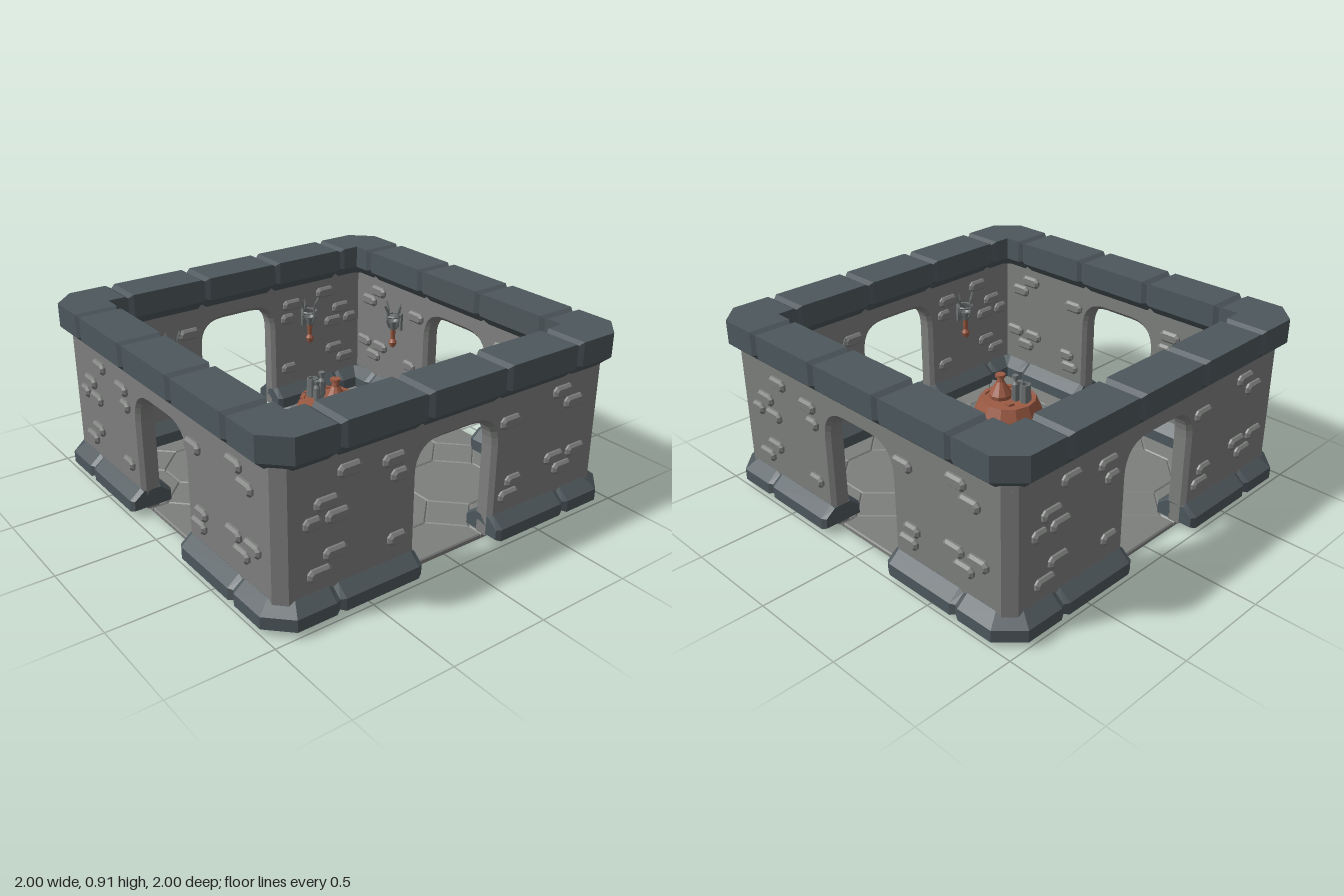
import * as THREE from 'three';

const mat = (name, color) => Object.assign(new THREE.MeshStandardMaterial({ color }), { name });

// Closed loft through rings of points with fan caps, faceted
function loft(rings) {
  const pos = [], n = rings[0].length, last = rings.length - 1;
  const tri = (a, b, c) => pos.push(...a, ...b, ...c);
  for (let i = 0; i < last; i++) {
    for (let j = 0; j < n; j++) {
      const k = (j + 1) % n, A = rings[i], B = rings[i + 1];
      tri(A[j], B[j], B[k]);
      tri(A[j], B[k], A[k]);
    }
  }
  for (let j = 1; j < n - 1; j++) {
    tri(rings[0][0], rings[0][j], rings[0][j + 1]);
    tri(rings[last][0], rings[last][j + 1], rings[last][j]);
  }
  const g = new THREE.BufferGeometry();
  g.setAttribute('position', new THREE.Float32BufferAttribute(pos, 3));
  g.computeVertexNormals();
  return g;
}

// Stone block: profile (t from outer to inner edge, y) swept along plan stations, tapered at its ends
function block(stations, profile) {
  const ys = profile.map(p => p[1]);
  const mid = (Math.min(...ys) + Math.max(...ys)) / 2;
  return loft(stations.map(([ox, oz, ix, iz], i) => {
    const end = i === 0 || i === stations.length - 1;
    return profile.map(([t, y]) => {
      const u = end ? 0.5 + (t - 0.5) * 0.88 : t;
      return [ox + (ix - ox) * u, end ? mid + (y - mid) * 0.82 : y, oz + (iz - oz) * u];
    });
  }));
}
const OUT = 1, IN = 0.78, JOINT = 0.667, DOOR = 0.225, GAP = 0.025;
const straight = (a, b) => [a, a + GAP, b - GAP, b].map(x => [x, OUT, x, IN]);
const corner = [
  [JOINT, OUT, JOINT, IN], [JOINT + GAP, OUT, JOINT + GAP, IN], [0.89, OUT, IN, IN],
  [OUT, 0.89, IN, IN], [OUT, JOINT + GAP, IN, JOINT + GAP], [OUT, JOINT, IN, JOINT],
];
const copingProfile = [[0.27, 0.735], [0, 0.79], [0, 0.91], [1, 0.91], [1, 0.79], [0.73, 0.735]];
const baseProfile = [[0, 0.03], [0, 0.09], [0.27, 0.14], [0.73, 0.14], [1, 0.09], [1, 0.03]];

const polygon = pts => new THREE.Shape(pts.map(p => new THREE.Vector2(p[0], p[1])));
const bevelled = (shape, depth, b) => new THREE.ExtrudeGeometry(shape, {
  depth, bevelEnabled: true, bevelSize: b, bevelThickness: b, bevelSegments: 1, curveSegments: 7,
});

// Wall panel with an arched doorway and chamfered edges
function wallGeometry() {
  const s = new THREE.Shape();
  s.moveTo(-0.89, 0.05);
  s.lineTo(-0.245, 0.05);
  s.lineTo(-0.245, 0.5);
  s.bezierCurveTo(-0.245, 0.6, -0.2, 0.665, -0.09, 0.665);
  s.lineTo(0.09, 0.665);
  s.bezierCurveTo(0.2, 0.665, 0.245, 0.6, 0.245, 0.5);
  s.lineTo(0.245, 0.05);
  s.lineTo(0.89, 0.05);
  s.lineTo(0.89, 0.755);
  s.lineTo(-0.89, 0.755);
  return bevelled(s, 0.06, 0.02).translate(0, 0, 0.86);
}

// Raised brick that shows on both wall faces
function brickGeometry(w, h) {
  const b = 0.012, c = 0.01, x = w / 2 - b, y = h / 2 - b;
  return bevelled(polygon([[-x + c, -y], [x - c, -y], [x, -y + c], [x, y - c],
    [x - c, y], [-x + c, y], [-x, y - c], [-x, -y + c]]), 0.12, b);
}
const bricks = [ // x, y, width
  [-0.59, 0.66, 0.12], [-0.36, 0.63, 0.12], [-0.33, 0.55, 0.09], [-0.705, 0.545, 0.12],
  [-0.775, 0.47, 0.09], [-0.65, 0.47, 0.12], [-0.66, 0.3, 0.12], [-0.74, 0.225, 0.12],
  [-0.335, 0.245, 0.1], [0.31, 0.605, 0.12], [0.64, 0.665, 0.12], [0.72, 0.595, 0.12],
  [0.62, 0.33, 0.12], [0.765, 0.33, 0.12], [0.68, 0.26, 0.12], [0.355, 0.295, 0.1], [0.33, 0.225, 0.12],
];

export function createModel() {
  const stone = mat('wall stone', 0x7d7f7d);
  const slate = mat('dark slate', 0x4d575c);
  const copper = mat('red brown wood', 0x9c5a43);
  const metal = mat('grey metal', 0x6f7475);
  for (const m of [copper, metal]) m.flatShading = true;

  const model = new THREE.Group();
  model.name = 'stoneRoom';
  const add = (parent, name, geo, m, x = 0, y = 0, z = 0) => {
    const mesh = new THREE.Mesh(geo, m);
    mesh.name = name;
    mesh.position.set(x, y, z);
    parent.add(mesh);
    return mesh;
  };
  const lathe = (pts, n, start, len) =>
    new THREE.LatheGeometry(pts.map(p => new THREE.Vector2(p[0], p[1])), n, start, len);

  // Floor: octagon and diamond slabs over a thin core, with rims below
  const floor = new THREE.Group();
  floor.name = 'floor';
  model.add(floor);
  const S = 0.445, edge = 0.89, clamp = v => Math.max(-edge, Math.min(edge, v));
  add(floor, 'floorCore', new THREE.BoxGeometry(1.78, 0.01, 1.78), stone, 0, 0.018, 0);
  const slab = (name, cx, cz, pts) => {
    const shape = polygon(pts.map(([x, y]) => [clamp(cx + x), clamp(cz + y)]));
    const g = bevelled(shape, 0.012, 0.006).rotateX(-Math.PI / 2);
    add(floor, name, g, stone, 0, 0.012, 0);
  };
  const a = 0.074, b = 0.2145;
  const octagon = [[a, -b], [b, -a], [b, a], [a, b], [-a, b], [-b, a], [-b, -a], [-a, -b]];
  const d = 0.136, diamond = [[d, 0], [0, d], [-d, 0], [0, -d]];
  for (let i = -2; i <= 2; i++) {
    for (let j = -2; j <= 2; j++) {
      if (Math.abs(i * j) < 4) slab('octagonSlab', i * S, j * S, octagon);
      if (i < 2 && j < 2) slab('diamondSlab', (i + 0.5) * S, (j + 0.5) * S, diamond);
    }
  }
  for (const p of [-0.884, 0, 0.884]) {
    add(floor, 'floorRim', new THREE.BoxGeometry(1.78, 0.024, 0.012), stone, 0, 0.012, p);
    add(floor, 'floorRim', new THREE.BoxGeometry(0.012, 0.024, 1.78), stone, p, 0.012, 0);
  }

  // Wall torch: copper handle in a metal cage
  const addTorch = (parent, x) => {
    const t = new THREE.Group();
    t.name = 'torch';
    t.position.set(x, 0, 0.79);
    parent.add(t);
    add(t, 'torchPlate', new THREE.BoxGeometry(0.05, 0.1, 0.02), metal, 0, 0.54, 0.045);
    add(t, 'torchArm', new THREE.BoxGeometry(0.02, 0.02, 0.06), metal, 0, 0.52, 0.02);
    add(t, 'torchHandle', lathe([[0, 0.39], [0.016, 0.4], [0.024, 0.425], [0.012, 0.445], [0.018, 0.54], [0, 0.54]], 8), copper);
    add(t, 'torchCup', lathe([[0, 0.5], [0.022, 0.505], [0.036, 0.555], [0.028, 0.555], [0, 0.53]], 8), metal);
    add(t, 'torchRing', new THREE.TorusGeometry(0.042, 0.007, 5, 10).rotateX(Math.PI / 2), metal, 0, 0.585, 0);
    for (let i = 0; i < 4; i++) {
      const curve = new THREE.CatmullRomCurve3([[0.025, 0.52], [0.045, 0.56], [0.042, 0.61], [0.062, 0.655]]
        .map(([r, y]) => new THREE.Vector3(r, y, 0)));
      add(t, 'torchProng', new THREE.TubeGeometry(curve, 6, 0.007, 5), metal).rotation.y = i * Math.PI / 2;
    }
  };

  // Four sides, each a quarter turn
  const wallGeo = wallGeometry();
  const brickGeos = new Map([0.09, 0.1, 0.12].map(w => [w, brickGeometry(w, 0.06)]));
  ['front', 'right', 'back', 'left'].forEach((name, k) => {
    const side = new THREE.Group();
    side.name = name + 'Wall';
    side.rotation.y = k * Math.PI / 2;
    model.add(side);
    add(side, 'wallPanel', wallGeo, stone);
    add(side, 'cornerPost', new THREE.BoxGeometry(0.0707, 0.72, 0.08), stone, 0.8867, 0.4, 0.8867)
      .rotation.y = Math.PI / 4;
    for (const [x, y, w] of bricks) add(side, 'brick', brickGeos.get(w), stone, x, y, 0.83);
    for (const [p, q] of [[-JOINT, -0.222], [-0.222, 0.222], [0.222, JOINT]]) {
      add(side, 'copingBlock', block(straight(p, q), copingProfile), slate);
    }
    add(side, 'copingCorner', block(corner, copingProfile), slate);
    add(side, 'baseBlock', block(straight(-JOINT, -DOOR), baseProfile), slate);
    add(side, 'baseBlock', block(straight(DOOR, JOINT), baseProfile), slate);
    add(side, 'baseCorner', block(corner, baseProfile), slate);
    if (k > 0) for (const x of [-0.45, 0.45]) addTorch(side, x);
  });

  // Barrel: twelve staves round a core, two hoops and a sunken lid
  const barrel = new THREE.Group();
  barrel.name = 'barrel';
  model.add(barrel);
  const stave = [[0.11, 0.004], [0.15, 0.002], [0.168, 0.05], [0.19, 0.14], [0.2, 0.24],
    [0.19, 0.34], [0.168, 0.4], [0.143, 0.46], [0.122, 0.46], [0.122, 0.43]];
  const step = Math.PI / 6;
  for (let i = 0; i < 12; i++) add(barrel, 'stave', lathe(stave, 1, (i + 0.04) * step, step * 0.92), copper);
  add(barrel, 'barrelCore', lathe([[0.145, 0.03], [0.183, 0.14], [0.193, 0.24], [0.183, 0.34], [0.135, 0.45], [0, 0.45]], 12), copper);
  for (const y of [0.117, 0.327]) {
    add(barrel, 'hoop', lathe([[0.18, 0], [0.207, 0], [0.207, 0.043], [0.18, 0.043]], 12), metal, 0, y, 0);
  }

  // Vessels on the lid
  const flask = [[0, 0], [0.058, 0], [0.06, 0.02], [0.02, 0.085], [0.016, 0.105], [0.026, 0.11], [0.026, 0.125], [0, 0.125]];
  add(barrel, 'flask', lathe(flask, 10), copper, 0.045, 0.45, -0.01);
  add(barrel, 'tankard', lathe([[0, 0], [0.03, 0], [0.028, 0.095], [0.02, 0.095], [0.018, 0.07], [0, 0.07]], 8), metal, -0.08, 0.45, 0.04);
  add(barrel, 'vial', lathe([[0, 0], [0.02, 0], [0.02, 0.09], [0.01, 0.105], [0.01, 0.12], [0.016, 0.122], [0.016, 0.138], [0, 0.138]], 8), metal, -0.035, 0.45, 0.015);
  add(barrel, 'smallVial', lathe([[0, 0], [0.02, 0], [0.018, 0.06], [0.01, 0.075], [0.014, 0.095], [0, 0.095]], 8), metal, -0.035, 0.45, 0.045);
  add(barrel, 'stopper', new THREE.CylinderGeometry(0.026, 0.028, 0.012, 5), copper, -0.05, 0.455, -0.04);

  // Bottle lying on the floor beside the barrel
  const bottle = add(model, 'fallenBottle',
    lathe([[0, 0], [0.028, 0.002], [0.036, 0.02], [0.035, 0.09], [0.016, 0.125], [0.014, 0.15], [0.02, 0.155], [0.02, 0.17], [0, 0.17]], 8),
    copper, 0.2, 0.067, 0.07);
  bottle.quaternion.setFromUnitVectors(new THREE.Vector3(0, 1, 0), new THREE.Vector3(-0.64, 0, 0.77).normalize());

  return model;
}
